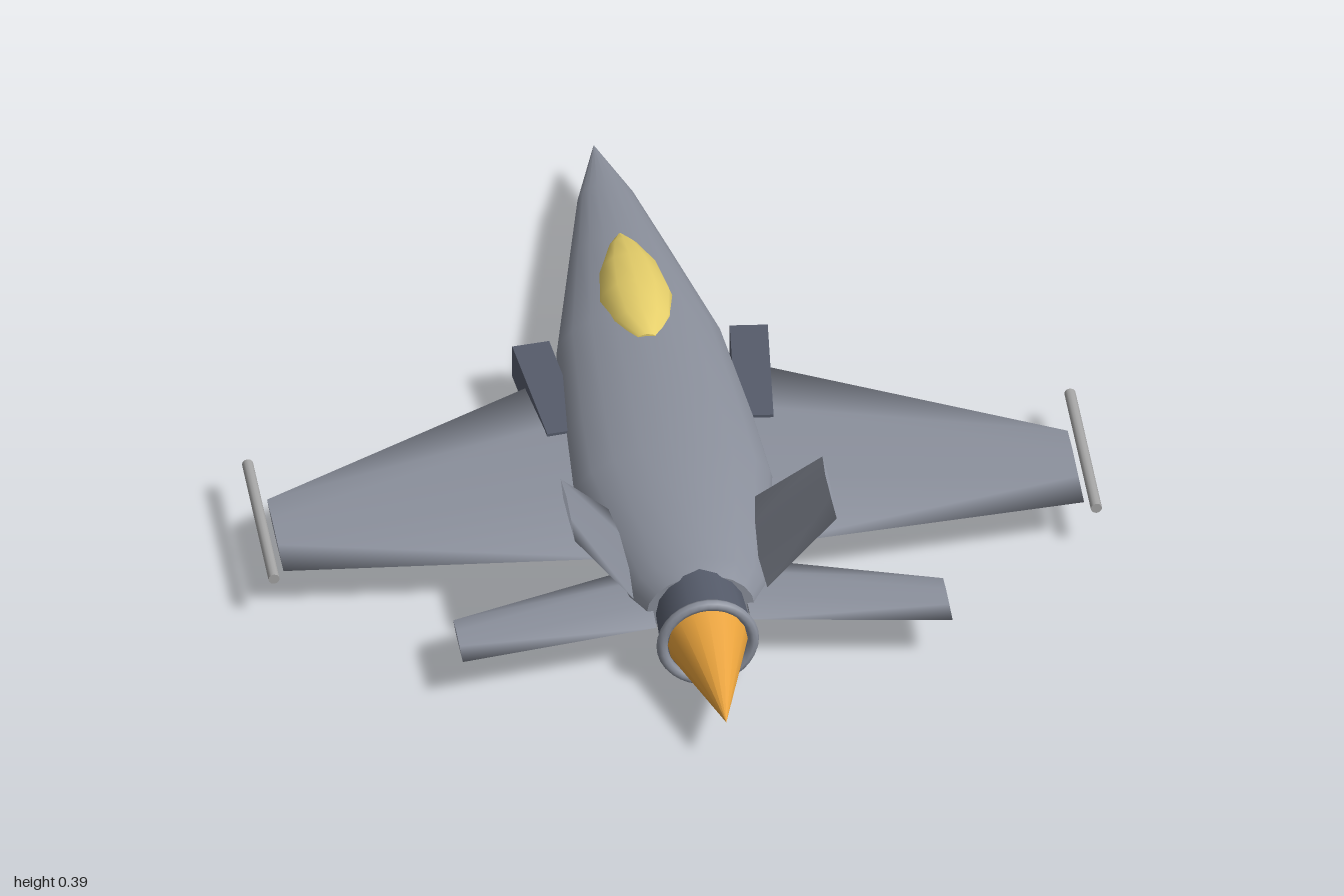
import * as THREE from 'three';

const paint = (color) => new THREE.MeshStandardMaterial({ color });
const AXIS_Y = 0.11;

// Skin a list of closed rings of [x, y, z]; ends get flat caps with their own vertices.
function loft(rings) {
  const n = rings[0].length;
  const pos = rings.flat(2);
  const index = [];
  for (let r = 0; r < rings.length - 1; r++) {
    for (let i = 0; i < n; i++) {
      const a = r * n + i, b = r * n + (i + 1) % n;
      index.push(a, b, a + n, b, b + n, a + n);
    }
  }
  for (const [ring, last] of [[rings[0], false], [rings[rings.length - 1], true]]) {
    const start = pos.length / 3;
    pos.push(...ring.flat());
    for (let i = 1; i < n - 1; i++) {
      index.push(start, start + (last ? i : i + 1), start + (last ? i + 1 : i));
    }
  }
  const geo = new THREE.BufferGeometry();
  geo.setAttribute('position', new THREE.Float32BufferAttribute(pos, 3));
  geo.setIndex(index);
  geo.computeVertexNormals();
  return geo;
}

// Oval ring at z with separate upper and lower heights.
function oval(z, halfWidth, top, bottom, mid, sides) {
  return Array.from({ length: sides }, (_, i) => {
    const a = (i / sides) * Math.PI * 2;
    const s = Math.sin(a);
    return [halfWidth * Math.cos(a), mid + s * (s > 0 ? top - mid : mid - bottom), z];
  });
}

// Tapered lens-section surface from root to tip: [x, y, zFront, zBack, halfThickness].
const SECTION = [[0.3, 1], [0.65, 0.65], [1, 0], [0.65, -0.65], [0.3, -1], [0, 0]];
function wing(root, tip) {
  const span = new THREE.Vector2(tip[0] - root[0], tip[1] - root[1]).normalize();
  const ring = ([x, y, z0, z1, t]) => SECTION.map(([c, h]) =>
    [x - span.y * h * t, y + span.x * h * t, z0 + (z1 - z0) * c]);
  return loft([ring(root), ring(tip)]);
}

// Mirror a geometry across x and restore its winding.
function mirrored(geo) {
  const g = geo.clone().scale(-1, 1, 1);
  const idx = g.index.array;
  for (let i = 0; i < idx.length; i += 3) {
    [idx[i], idx[i + 1]] = [idx[i + 1], idx[i]];
  }
  return g;
}

export function createModel() {
  const model = new THREE.Group();
  model.name = 'jetFighter';
  const hull = paint(0x8b909c);
  const dark = paint(0x565c6b);
  const rail = paint(0xa6a6a6);

  const add = (name, geo, mat) => {
    const mesh = new THREE.Mesh(geo, mat);
    mesh.name = name;
    model.add(mesh);
  };
  const addPair = (name, geo, mat) => {
    add(name + 'Left', geo, mat);
    add(name + 'Right', mirrored(geo), mat);
  };

  // Fuselage stations: z, half width, top, bottom
  const stations = [
    [-1, 0.001, 0.111, 0.109], [-0.82, 0.06, 0.147, 0.09], [-0.6, 0.11, 0.18, 0.075],
    [-0.3, 0.178, 0.214, 0.058], [0, 0.205, 0.226, 0.053], [0.2, 0.215, 0.23, 0.051],
    [0.4, 0.18, 0.222, 0.053], [0.56, 0.147, 0.21, 0.057], [0.61, 0.115, 0.2, 0.062],
  ];
  add('fuselage', loft(stations.map(([z, w, t, b]) => oval(z, w, t, b, AXIS_Y, 20))), hull);

  // Canopy: z, half width, top, middle
  const glass = [
    [-0.61, 0.004, 0.178, 0.172], [-0.56, 0.033, 0.203, 0.173], [-0.47, 0.064, 0.232, 0.18],
    [-0.36, 0.08, 0.246, 0.185], [-0.27, 0.064, 0.238, 0.195], [-0.2, 0.028, 0.223, 0.2],
  ];
  add('canopy', loft(glass.map(([z, w, t, m]) => oval(z, w, t, m - 0.03, m, 12))), paint(0xe6cf6a));

  // Main wings, tailplanes and canted fins
  addPair('wing', wing([0.13, 0.115, -0.256, 0.418, 0.022], [0.85, 0.112, 0.11, 0.358, 0.005]), hull);
  addPair('tailplane', wing([0.1, 0.112, 0.445, 0.66, 0.014], [0.52, 0.112, 0.575, 0.72, 0.005]), hull);
  addPair('tailFin', wing([0.142, 0.155, 0.31, 0.61, 0.009], [0.278, 0.385, 0.475, 0.69, 0.004]), hull);

  // Wingtip rails
  addPair('wingtipRail',
    new THREE.CylinderGeometry(0.012, 0.012, 0.4, 12).rotateX(Math.PI / 2).translate(0.873, AXIS_Y, 0.18), rail);

  // Air intakes, splayed outward at the front
  addPair('airIntake',
    new THREE.BoxGeometry(0.08, 0.08, 0.31).rotateY(-0.1).translate(0.216, 0.1, -0.153), dark);

  // Engine nozzle, rim and exhaust flame
  add('nozzle',
    new THREE.CylinderGeometry(0.1, 0.094, 0.13, 16).rotateX(Math.PI / 2).translate(0, AXIS_Y, 0.655), dark);
  add('nozzleRim', new THREE.TorusGeometry(0.097, 0.012, 8, 32).translate(0, AXIS_Y, 0.72), hull);
  add('exhaustFlame',
    new THREE.ConeGeometry(0.085, 0.28, 16).rotateX(Math.PI / 2).translate(0, AXIS_Y, 0.86), paint(0xe8a23c));

  return model;
}
